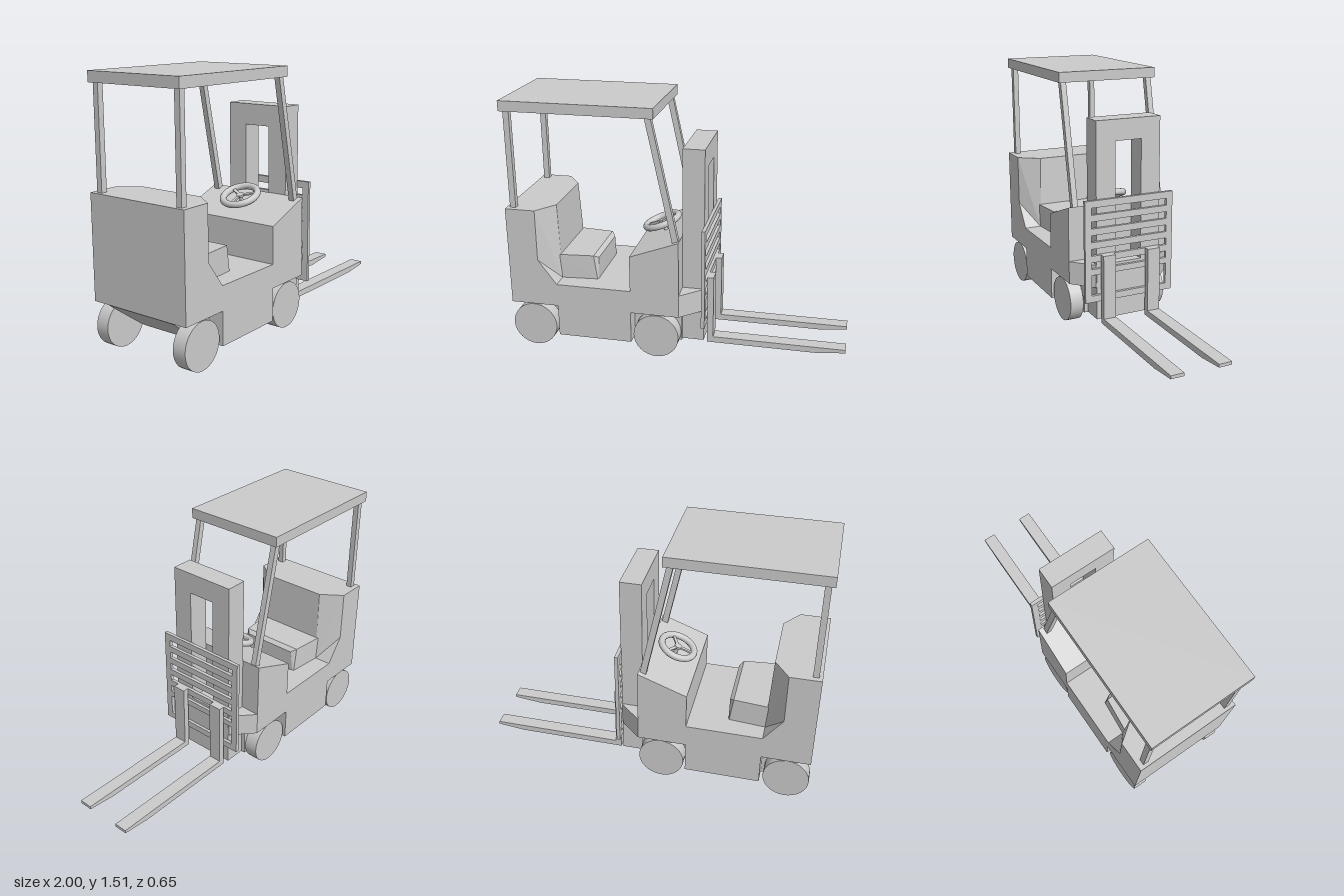
import * as THREE from 'three';
import { ConvexGeometry } from 'three/addons/geometries/ConvexGeometry.js';

const material = new THREE.MeshStandardMaterial({ color: 0xcccccc });

// Polygon from [a, b] points, with optional rectangular holes [a0, b0, a1, b1]
function polygon(points, holes = []) {
  const shape = new THREE.Shape(points.map(([a, b]) => new THREE.Vector2(a, b)));
  for (const [a0, b0, a1, b1] of holes) {
    shape.holes.push(new THREE.Path(
      [[a0, b0], [a0, b1], [a1, b1], [a1, b0]].map(([a, b]) => new THREE.Vector2(a, b))));
  }
  return shape;
}

const rect = (a0, b0, a1, b1) => [[a0, b0], [a1, b0], [a1, b1], [a0, b1]];

const extrude = (shape, depth) => new THREE.ExtrudeGeometry(shape, { depth, bevelEnabled: false });

// Side profile in x, y, extruded across z and centred on z
const sideProfile = (points, width, z = 0) =>
  extrude(polygon(points), width).translate(0, 0, z - width / 2);

// Front profile in z, y, extruded along x from x0 to x1
const frontProfile = (points, holes, x0, x1) =>
  extrude(polygon(points, holes), x1 - x0).rotateY(Math.PI / 2).translate(x0, 0, 0);

// Convex solid from half the points, mirrored in z
const mirroredHull = (points) => new ConvexGeometry(
  points.flatMap(([x, y, z]) => [new THREE.Vector3(x, y, z), new THREE.Vector3(x, y, -z)]));

export function createModel() {
  const model = new THREE.Group();
  model.name = 'forklift';
  const add = (name, geometry, parent = model) => {
    const mesh = new THREE.Mesh(geometry, material);
    mesh.name = name;
    parent.add(mesh);
    return mesh;
  };

  // Body shell with wheel arches, and the narrower core between the wheels
  add('body', sideProfile([
    [-1, 0.28], [-0.71, 0.28], [-0.71, 0.085], [-0.26, 0.085], [-0.26, 0.28], [0.03, 0.28],
    [0.03, 0.75], [-0.26, 0.64], [-0.26, 0.42], [-0.71, 0.42], [-0.82, 0.57], [-0.82, 0.88], [-1, 0.88],
  ], 0.65));
  add('chassisCore', sideProfile([
    [-1, 0.281], [-0.73, 0.08], [0.03, 0.08], [0.03, 0.281],
  ], 0.46));

  // Chamfered nose around the foot of the mast
  add('nose', extrude(polygon([
    [0.03, -0.325], [0.157, -0.21], [0.157, 0.21], [0.03, 0.325],
  ]), 0.14).rotateX(-Math.PI / 2).translate(0, 0.28, 0));

  // Seat
  add('seatBack', mirroredHull([
    [-0.82, 0.88, 0.325], [-0.73, 0.88, 0.2], [-0.715, 0.57, 0.21],
    [-0.71, 0.42, 0.22], [-0.82, 0.57, 0.325], [-0.82, 0.42, 0.22],
  ]));
  add('seatCushion', mirroredHull([
    [-0.72, 0.42, 0.22], [-0.72, 0.57, 0.22], [-0.515, 0.57, 0.2],
    [-0.495, 0.42, 0.2], [-0.49, 0.55, 0.17], [-0.49, 0.42, 0.19],
  ]));

  // Overhead guard
  add('roof', new THREE.BoxGeometry(0.89, 0.06, 0.62).translate(-0.555, 1.485, 0));
  for (const [side, s] of [['left', -1], ['right', 1]]) {
    add(side + 'RearPost', sideProfile(rect(-0.98, 0.87, -0.945, 1.46), 0.034, s * 0.277));
    add(side + 'FrontPost', sideProfile([
      [-0.012, 0.73], [0.022, 0.745], [-0.13, 1.46], [-0.166, 1.46],
    ], 0.034, s * 0.277));
  }

  // Wheels
  for (const [end, x] of [['rear', -0.865], ['front', -0.11]]) {
    for (const s of [-1, 1]) {
      add(end + 'Wheel', new THREE.CylinderGeometry(0.136, 0.136, 0.082, 32)
        .rotateX(Math.PI / 2).translate(x, 0.136, s * 0.275));
    }
  }

  // Steering wheel, tilted with the dashboard
  const steering = new THREE.Group();
  steering.name = 'steeringWheel';
  steering.position.set(-0.137, 0.752, 0);
  steering.rotation.z = 0.37;
  add('rim', new THREE.TorusGeometry(0.103, 0.02, 12, 36).rotateX(Math.PI / 2), steering);
  add('column', new THREE.CylinderGeometry(0.012, 0.012, 0.09, 12).translate(0, -0.045, 0), steering);
  add('hub', new THREE.CylinderGeometry(0.022, 0.022, 0.014, 16), steering);
  for (let i = 0; i < 3; i++) {
    add('spoke', new THREE.BoxGeometry(0.1, 0.01, 0.018).translate(0.05, 0, 0)
      .rotateY(Math.PI + i * Math.PI * 2 / 3), steering);
  }
  model.add(steering);

  // Mast with its window
  add('mast', frontProfile(rect(-0.205, 0.08, 0.205, 1.27), [[-0.083, 0.42, 0.083, 1.145]], 0.03, 0.158));

  // Slatted load backrest
  const slots = [[-0.245, 0.24, 0.245, 0.368]];
  for (let i = 0; i < 5; i++) {
    const y = 0.404 + i * 0.082;
    slots.push([-0.245, y, 0.245, y + 0.042]);
  }
  add('loadBackrest', frontProfile(rect(-0.285, 0.2, 0.285, 0.816), slots, 0.155, 0.176));

  // Forks with tapered tips
  for (const s of [-1, 1]) {
    add('fork', sideProfile([
      [0.176, 0.06], [0.83, 0.06], [1, 0.078], [1, 0.097],
      [0.212, 0.097], [0.212, 0.487], [0.176, 0.487],
    ], 0.08, s * 0.145));
  }

  return model;
}
